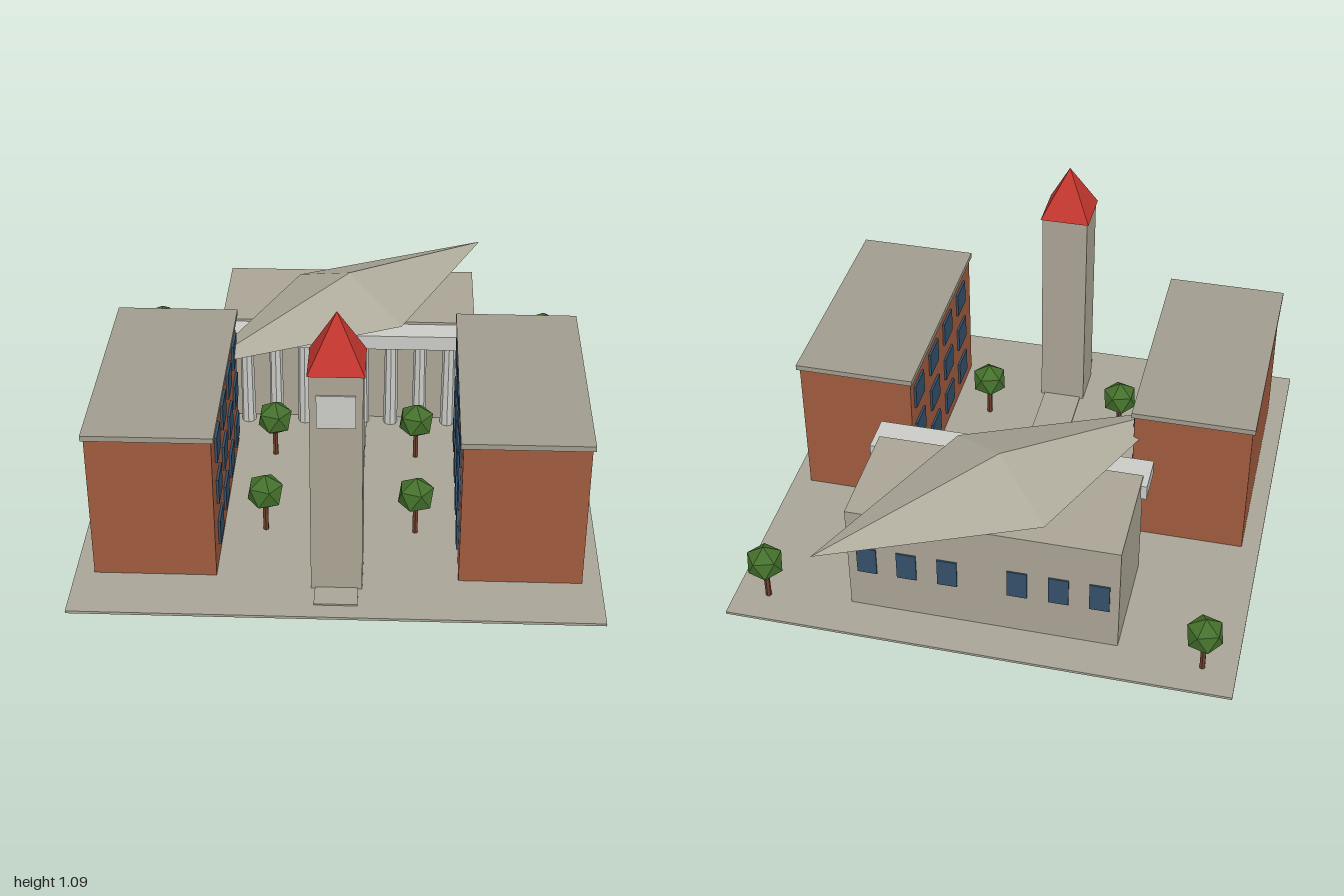
import * as THREE from 'three';

const mat = (name, color) => Object.assign(
  new THREE.MeshStandardMaterial({ color, flatShading: true }), { name });

export function createModel() {
  const paving = mat('paving', 0xa8a496);
  const stone = mat('stone', 0xaaa494);
  const brick = mat('brick', 0xa05c3e);
  const slate = mat('roof slab', 0xa09c8e);
  const canopy = mat('hall roof', 0xaeaa9b);
  const pale = mat('pale stone', 0xcacac6);
  const red = mat('red tile', 0xc4372f);
  const glass = mat('window glass', 0x34506a);
  const bark = mat('bark', 0x6e3f2c);
  const leaf = mat('leaves', 0x44702c);

  const model = new THREE.Group();
  model.name = 'campus';

  const add = (name, geo, material, x = 0, y = 0, z = 0, parent = model) => {
    const mesh = new THREE.Mesh(geo, material);
    mesh.name = name;
    mesh.position.set(x, y, z);
    parent.add(mesh);
    return mesh;
  };
  // Box given by its lower and upper corners
  const box = (name, material, [x0, y0, z0], [x1, y1, z1], parent = model) =>
    add(name, new THREE.BoxGeometry(x1 - x0, y1 - y0, z1 - z0), material,
      (x0 + x1) / 2, (y0 + y1) / 2, (z0 + z1) / 2, parent);
  const group = (name) => {
    const g = new THREE.Group();
    g.name = name;
    model.add(g);
    return g;
  };

  // Ground and path
  box('ground', paving, [-0.945, 0, -0.893], [0.945, 0.01, 1]);
  box('path', paving, [-0.077, 0.01, -0.25], [0.077, 0.016, 0.935]);

  // Hall with rear windows, colonnade and skewed pyramid roof
  const hall = group('hall');
  box('hallWalls', stone, [-0.505, 0.01, -0.736], [0.505, 0.46, -0.3], hall);
  box('entablature', pale, [-0.528, 0.39, -0.35], [0.528, 0.45, -0.2], hall);
  for (const x of [-0.433, -0.283, -0.13, 0.13, 0.283, 0.433])
    box('hallWindow', glass, [x - 0.037, 0.18, -0.742], [x + 0.037, 0.297, -0.735], hall);
  const columnGeo = new THREE.CylinderGeometry(0.025, 0.029, 0.38, 8);
  for (let i = 0; i < 8; i++)
    add('column', columnGeo, pale, (i - 3.5) * 0.116, 0.2, -0.267, hall);
  const hallRoof = new THREE.ConeGeometry(1, 0.125, 4)
    .scale(0.768, 1, 0.302).rotateY(Math.PI / 4);
  add('hallRoof', hallRoof, canopy, 0, 0.534, -0.455, hall);

  // Brick wings, mirrored, windows on the courtyard side
  for (const s of [-1, 1]) {
    const wing = group(s > 0 ? 'leftWing' : 'rightWing');
    add('wingWalls', new THREE.BoxGeometry(0.442, 0.57, 0.89), brick, s * 0.655, 0.295, 0.333, wing);
    add('wingRoof', new THREE.BoxGeometry(0.462, 0.021, 0.91), slate, s * 0.655, 0.59, 0.33, wing);
    const pane = new THREE.BoxGeometry(0.0095, 0.102, 0.115);
    for (const y of [0.124, 0.302, 0.48])
      for (let i = 0; i < 4; i++)
        add('wingWindow', pane, glass, s * 0.43, y, -0.01 + i * 0.21, wing);
  }

  // Tower
  const tower = group('tower');
  box('towerShaft', stone, [-0.091, 0.01, 0.66], [0.091, 0.893, 0.84], tower);
  box('towerPanel', pale, [-0.067, 0.693, 0.839], [0.067, 0.82, 0.846], tower);
  add('towerRoof', new THREE.ConeGeometry(0.138, 0.197, 4).rotateY(Math.PI / 4), red,
    0, 0.9915, 0.748, tower);

  // Trees
  const trunkGeo = new THREE.CylinderGeometry(0.011, 0.011, 0.13, 6);
  const crownGeo = new THREE.IcosahedronGeometry(0.0735, 0)
    .rotateZ(Math.atan(2 / (1 + Math.sqrt(5)))).rotateY(Math.PI);
  for (const [tx, z] of [[0.82, -0.77], [0.278, -0.013], [0.278, 0.49]])
    for (const x of [-tx, tx]) {
      const tree = group('tree');
      add('trunk', trunkGeo, bark, x, 0.065, z, tree);
      add('crown', crownGeo, leaf, x, 0.178, z, tree);
    }

  return model;
}
